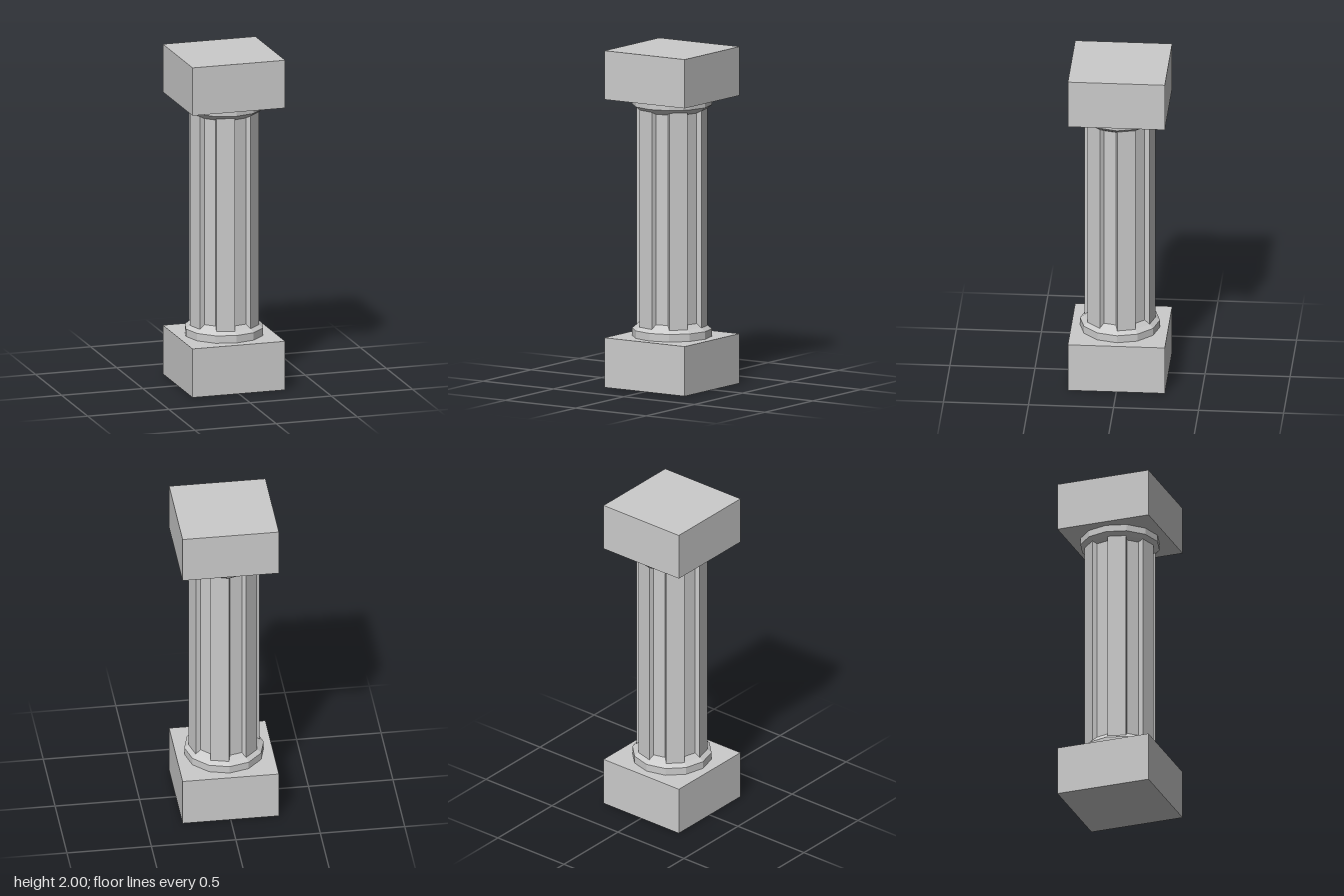
import * as THREE from 'three';

const SIDES = 12, R = 0.21, COLLAR_R = 0.235;
const Y0 = 0.36, Y1 = 1.65;          // shaft ends
const INSET = 0.017, DEPTH = 0.024;  // flute side inset and depth
const FLUTE_Y0 = 0.385, FLUTE_Y1 = 1.635;

// Twelve-sided shaft: plain faces alternate with recessed flutes
function shaftGeometry() {
  const pos = [];
  const quad = (a, b, c, d) => [a, b, c, a, c, d].forEach(p => pos.push(p.x, p.y, p.z));
  const at = (p, y) => new THREE.Vector3(p.x, y, p.z);
  const corner = i => {
    const t = (i / SIDES) * Math.PI * 2;
    return new THREE.Vector3(R * Math.sin(t), 0, R * Math.cos(t));
  };
  for (let i = 0; i < SIDES; i++) {
    const a = corner(i), b = corner(i + 1);
    const outer = [at(a, Y0), at(b, Y0), at(b, Y1), at(a, Y1)];
    if (i % 2) {
      quad(...outer);
      continue;
    }
    const along = b.clone().sub(a).normalize();
    const inward = a.clone().add(b).normalize().multiplyScalar(-DEPTH);
    const ia = a.clone().addScaledVector(along, INSET).add(inward);
    const ib = b.clone().addScaledVector(along, -INSET).add(inward);
    const inner = [at(ia, FLUTE_Y0), at(ib, FLUTE_Y0), at(ib, FLUTE_Y1), at(ia, FLUTE_Y1)];
    quad(...inner);
    // Sloping walls around the recess
    for (let k = 0; k < 4; k++) {
      const n = (k + 1) % 4;
      quad(outer[k], outer[n], inner[n], inner[k]);
    }
  }
  const g = new THREE.BufferGeometry();
  g.setAttribute('position', new THREE.Float32BufferAttribute(pos, 3));
  g.computeVertexNormals();
  return g;
}

export function createModel() {
  const group = new THREE.Group();
  group.name = 'column';
  const material = new THREE.MeshStandardMaterial({ color: 0xcccccc, flatShading: true });
  const add = (name, geometry, y = 0) => {
    const mesh = new THREE.Mesh(geometry, material);
    mesh.name = name;
    mesh.position.y = y;
    group.add(mesh);
  };
  // Twelve-sided band between two heights
  const band = (name, rBottom, rTop, y0, y1) =>
    add(name, new THREE.CylinderGeometry(rTop, rBottom, y1 - y0, SIDES, 1, true), (y0 + y1) / 2);

  // Square blocks
  add('plinth', new THREE.BoxGeometry(0.57, 0.295, 0.57), 0.1475);
  add('capitalBlock', new THREE.BoxGeometry(0.57, 0.29, 0.57), 1.855);

  // Collars with bevels running into the shaft
  band('lowerCollar', COLLAR_R, COLLAR_R, 0.295, 0.34);
  band('lowerBevel', COLLAR_R, R, 0.34, Y0);
  band('upperBevel', R, COLLAR_R, Y1, 1.67);
  band('upperCollar', COLLAR_R, COLLAR_R, 1.67, 1.71);

  add('flutedShaft', shaftGeometry());
  return group;
}
